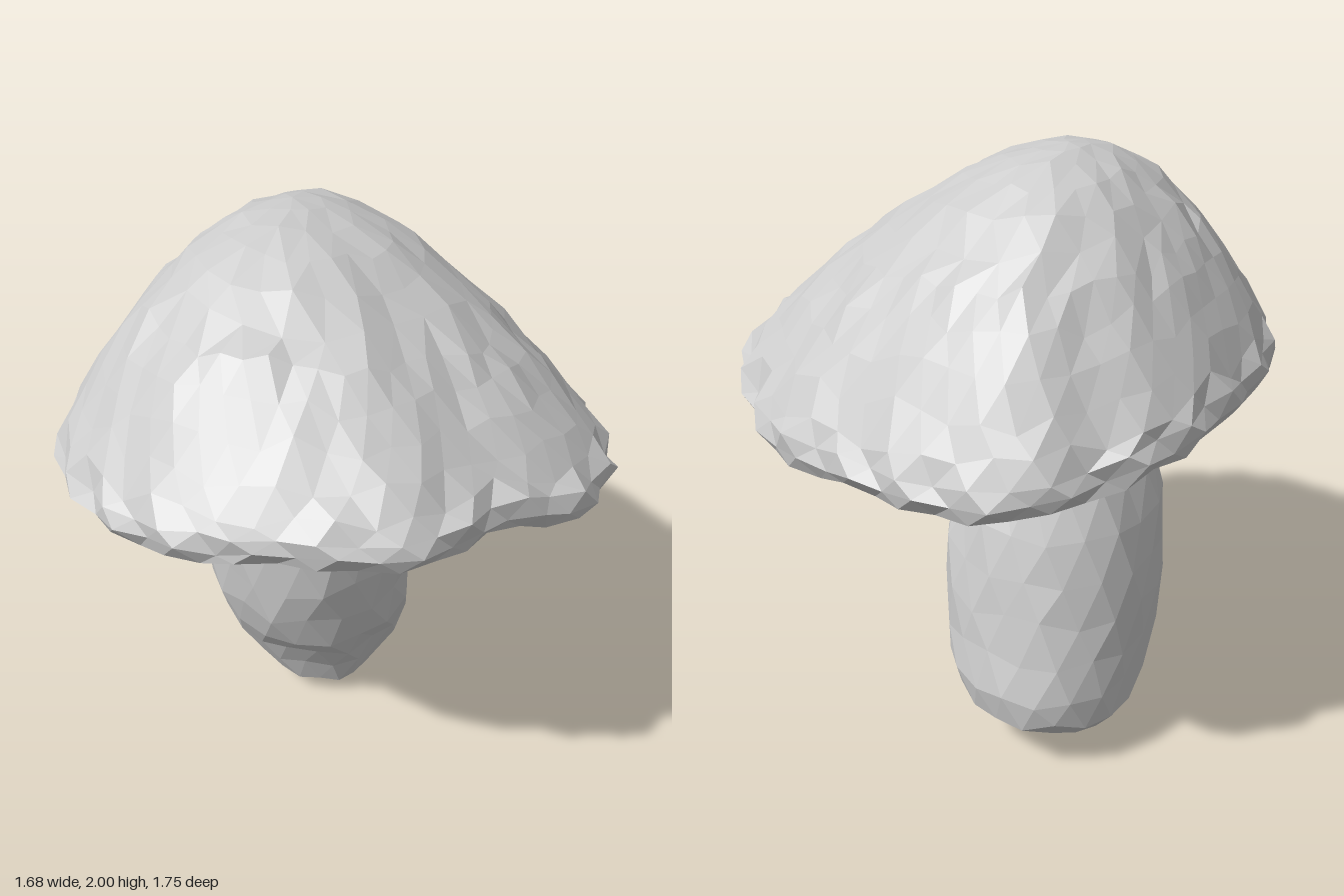
import * as THREE from 'three';

// Small seeded noise in -1..1
function makeNoise(seed) {
  let s = seed;
  return () => {
    s = (s * 1664525 + 1013904223) % 4294967296;
    return (s / 4294967296) * 2 - 1;
  };
}

// Joins staggered rings (bottom to top) into an irregular faceted skin
function skin(name, rings) {
  const pos = [];
  const tri = (a, b, c) => {
    const area = b.clone().sub(a).cross(c.clone().sub(a)).length();
    if (area > 1e-7) pos.push(...a.toArray(), ...b.toArray(), ...c.toArray());
  };
  for (let j = 0; j < rings.length - 1; j++) {
    const lo = rings[j], up = rings[j + 1], n = lo.length;
    for (let i = 0; i < n; i++) {
      const k = (i + 1) % n;
      if (j % 2 === 0) {
        tri(lo[i], up[i], lo[k]);
        tri(lo[k], up[i], up[k]);
      } else {
        tri(lo[i], up[i], up[k]);
        tri(lo[i], up[k], lo[k]);
      }
    }
  }
  const geo = new THREE.BufferGeometry();
  geo.setAttribute('position', new THREE.Float32BufferAttribute(pos, 3));
  geo.computeVertexNormals();
  const mesh = new THREE.Mesh(geo, new THREE.MeshStandardMaterial({
    color: 0xcccccc, flatShading: true, side: THREE.DoubleSide }));
  mesh.name = name;
  return mesh;
}

// Ring of n points; a step above 1 merges neighbours where facets get small
function ring(n, j, step, pointAt) {
  const pts = [];
  for (let i = 0; i < n; i++) {
    pts.push(i % step ? pts[i - 1] : pointAt((i + (j % 2) / 2) / n, i));
  }
  return pts;
}

function makeCap() {
  const noise = makeNoise(11), N = 48, rings = [];
  // Uneven, tilted rim line
  const rim = new THREE.CatmullRomCurve3([
    [0.77, 1.36, 0], [0.77, 1.385, 0.36], [0.56, 1.395, 0.6], [0.3, 1.36, 0.79],
    [0.04, 1.32, 0.86], [-0.36, 1.305, 0.81], [-0.6, 1.31, 0.6], [-0.74, 1.315, 0.38],
    [-0.81, 1.325, 0.1], [-0.82, 1.3, -0.38], [-0.72, 1.26, -0.6], [-0.61, 1.24, -0.79],
    [-0.36, 1.21, -0.86], [0, 1.19, -0.86], [0.28, 1.19, -0.84], [0.44, 1.2, -0.75],
    [0.6, 1.22, -0.66], [0.74, 1.26, -0.49], [0.82, 1.29, -0.25],
  ].map((p) => new THREE.Vector3(...p)), true);
  const apex = new THREE.Vector3(-0.21, 2, -0.01);
  const under = new THREE.Vector3(-0.18, 1.26, 0.02);

  // Flat underside, from the stem outwards
  rings.push(ring(N, 0, N, () => under.clone()));
  for (const [f, step] of [[0.25, 4], [0.5, 2], [0.72, 2], [0.88, 1]]) {
    rings.push(ring(N, rings.length, step, (t) => {
      const r = rim.getPointAt(t % 1);
      r.y -= 0.05;
      const p = under.clone().lerp(r, f + noise() * 0.03);
      p.y += noise() * 0.008;
      return p;
    }));
  }
  // Jagged lip: lower edge, outer edge, then upper edge with teeth
  for (const [f, dy] of [[0.97, -0.05], [1.0, 0.0], [0.985, 0.05]]) {
    rings.push(ring(N, rings.length, 1, (t, i) => {
      const r = rim.getPointAt(t % 1), tooth = i % 2 ? 1 : -1;
      const s = f + tooth * 0.014 + noise() * 0.01;
      return new THREE.Vector3(r.x * s, r.y + dy + tooth * 0.008 + noise() * 0.01, r.z * s);
    }));
  }
  // Lopsided dome: nearly straight slope at the right, fuller elsewhere
  const dome = [[0.94, 1], [0.87, 1], [0.79, 1], [0.7, 1], [0.61, 1], [0.51, 2],
    [0.41, 2], [0.3, 2], [0.19, 4], [0.09, 6]];
  for (const [f, step] of dome) {
    rings.push(ring(N, rings.length, step, (t) => {
      const r = rim.getPointAt(t % 1);
      const power = 1.69 - 0.16 * r.x + 0.08 * r.z + 0.28 * r.z * r.z;
      const s = f + noise() * 0.018;
      const p = apex.clone().lerp(r, s);
      const base = r.y + 0.03;
      p.y = base + (2 - base) * (1 - s ** power) + noise() * 0.016 * Math.min(1, f * 2);
      return p;
    }));
  }
  rings.push(ring(N, 0, N, () => apex.clone()));
  return skin('cap', rings);
}

function makeStem() {
  const noise = makeNoise(5), N = 18;
  // Height, then x and z extents of each section
  const sections = [
    [0, -0.24, -0.24, -0.1, -0.1], [0.02, -0.38, -0.1, -0.2, 0],
    [0.09, -0.51, -0.03, -0.32, 0.07], [0.2, -0.575, 0.01, -0.46, 0.13],
    [0.3, -0.585, 0.05, -0.485, 0.18], [0.42, -0.585, 0.1, -0.455, 0.24],
    [0.56, -0.575, 0.125, -0.43, 0.29], [0.7, -0.565, 0.135, -0.4, 0.305],
    [0.84, -0.54, 0.125, -0.36, 0.305], [0.98, -0.495, 0.105, -0.3, 0.3],
    [1.1, -0.465, 0.09, -0.26, 0.295], [1.2, -0.44, 0.08, -0.24, 0.28],
    [1.31, -0.42, 0.06, -0.21, 0.25], [1.31, -0.18, -0.18, 0.02, 0.02],
  ];
  const rings = sections.map(([y, x0, x1, z0, z1], j) => {
    const pole = x0 === x1;
    return ring(N, j, pole ? N : j === 1 ? 3 : 1, (t) => {
      const a = t * Math.PI * 2;
      // Slightly squared section
      const s = 1.005 + 0.045 * Math.sin(2 * a) ** 2 + noise() * 0.025;
      return new THREE.Vector3(
        (x0 + x1) / 2 + ((x1 - x0) / 2) * s * Math.cos(a),
        y + (pole || j < 2 ? 0 : noise() * 0.02),
        (z0 + z1) / 2 + ((z1 - z0) / 2) * s * Math.sin(a));
    });
  });
  return skin('stem', rings);
}

export function createModel() {
  const group = new THREE.Group();
  group.name = 'mushroom';
  group.add(makeCap(), makeStem());
  return group;
}
